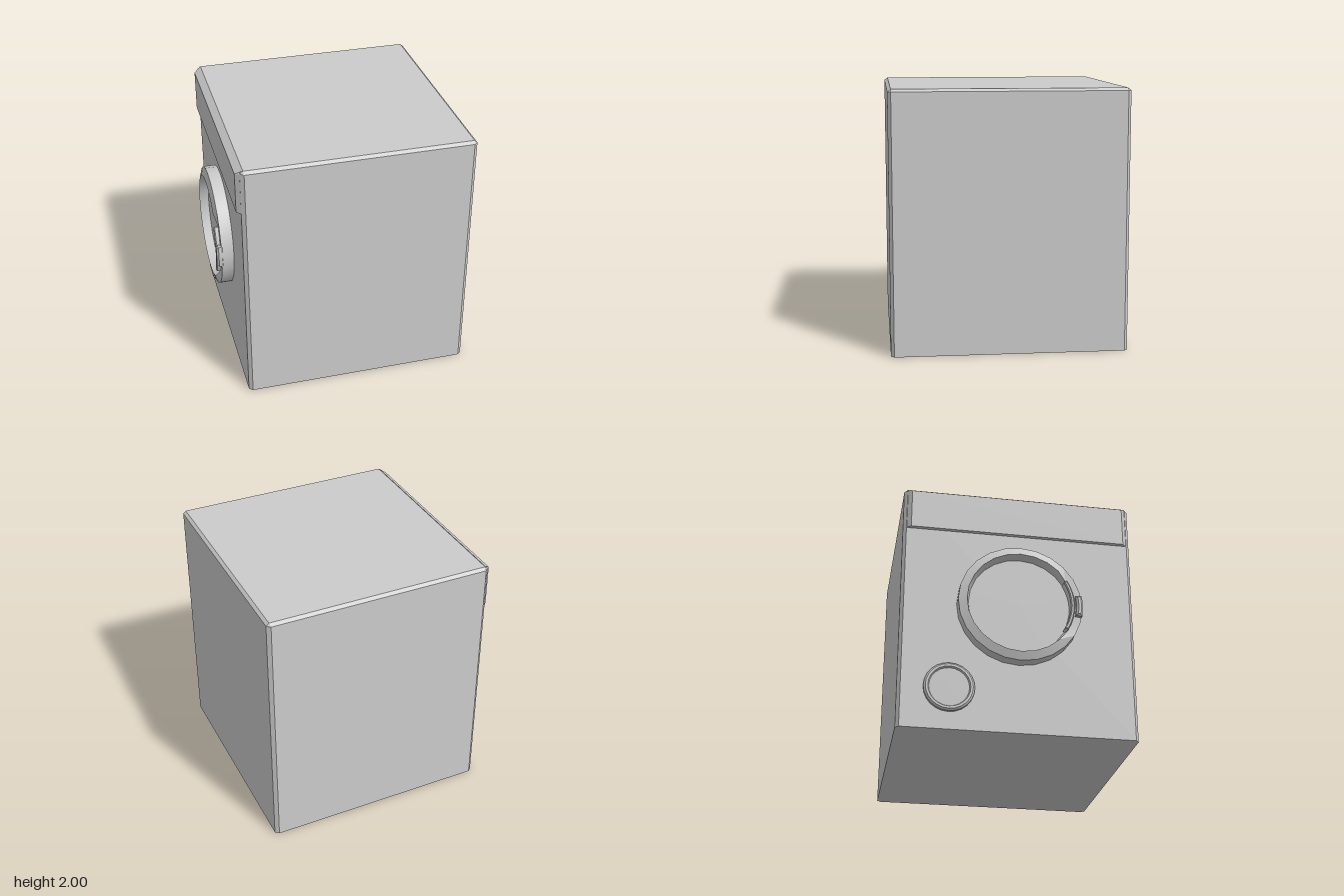
import * as THREE from 'three';
import { toCreasedNormals } from 'three/addons/utils/BufferGeometryUtils.js';
import { ConvexGeometry } from 'three/addons/geometries/ConvexGeometry.js';

const grey = new THREE.MeshStandardMaterial({ color: 0xcccccc });
const DOOR_Y = 1.015;

function part(name, geometry, y = 0, z = 0) {
  const mesh = new THREE.Mesh(geometry, grey);
  mesh.name = name;
  mesh.position.set(0, y, z);
  return mesh;
}

// Convex solid from corners given for one side and mirrored in z
function hull(corners) {
  const points = [];
  for (const [x, y, z] of corners) {
    points.push(new THREE.Vector3(x, y, z), new THREE.Vector3(x, y, -z));
  }
  return new ConvexGeometry(points);
}

// Turned part whose axis points to -x; profile is [radius, distance along -x]
function turned(profile, segments) {
  return new THREE.LatheGeometry(profile.map(([r, h]) => new THREE.Vector2(r, h)), segments)
    .rotateZ(Math.PI / 2);
}

// Ring sector around the door axis, centred on +z and extruded along -x
function sector(inner, outer, halfAngle, from, to, bevel) {
  const shape = new THREE.Shape();
  shape.absarc(0, 0, outer - bevel, -halfAngle, halfAngle, false);
  shape.absarc(0, 0, inner + bevel, halfAngle, -halfAngle, true);
  shape.closePath();
  const geometry = new THREE.ExtrudeGeometry(shape, {
    depth: to - from - 2 * bevel, curveSegments: 4,
    bevelEnabled: true, bevelSize: bevel, bevelThickness: bevel, bevelSegments: 1,
  });
  geometry.translate(0, 0, from + bevel).rotateY(-Math.PI / 2);
  return toCreasedNormals(geometry, 0.5);
}

export function createModel() {
  const model = new THREE.Group();
  model.name = 'washingMachine';

  // Cabinet with chamfered upright and top edges
  const cabinet = [];
  for (const y of [0, 1.98]) {
    cabinet.push([-0.825, y, 0.875], [-0.797, y, 0.9], [0.925, y, 0.9], [0.953, y, 0.875]);
  }
  cabinet.push([-0.8, 2, 0.875], [0.93, 2, 0.875]);
  model.add(part('cabinet', hull(cabinet)));

  // Control panel along the top of the door side
  model.add(part('controlPanel', hull([
    [-0.856, 1.645, 0.84], [-0.856, 1.965, 0.84],
    [-0.8, 1.645, 0.898], [-0.8, 1.98, 0.898], [-0.805, 2, 0.873],
  ])));

  // Door ring with recessed window
  const door = turned([[0.475, 0.82], [0.475, 0.92], [0.41, 0.942], [0.392, 0.87], [0, 0.87]], 24);
  // Lower the raised rim beside the handle
  const p = door.attributes.position;
  for (let i = 0; i < p.count; i++) {
    const angle = Math.abs(Math.atan2(p.getY(i), p.getZ(i)));
    if (p.getX(i) < -0.93 && angle < 0.55) p.setX(i, -0.918);
  }
  model.add(part('door', toCreasedNormals(door, 0.3), DOOR_Y));

  // Door handle: long inner grip and short outer latch
  const handle = new THREE.Group();
  handle.name = 'doorHandle';
  handle.add(part('innerGrip', sector(0.382, 0.412, 0.51, 0.87, 0.953, 0.008), DOOR_Y));
  handle.add(part('outerLatch', sector(0.425, 0.475, 0.155, 0.9, 0.957, 0.015), DOOR_Y));
  model.add(handle);

  // Round filter cover
  const cover = turned([
    [0.19, 0.82], [0.19, 0.845], [0.176, 0.857], [0.158, 0.857], [0.15, 0.842], [0, 0.842],
  ], 24);
  model.add(part('filterCover', toCreasedNormals(cover, 0.5), 0.325, -0.52));

  return model;
}
